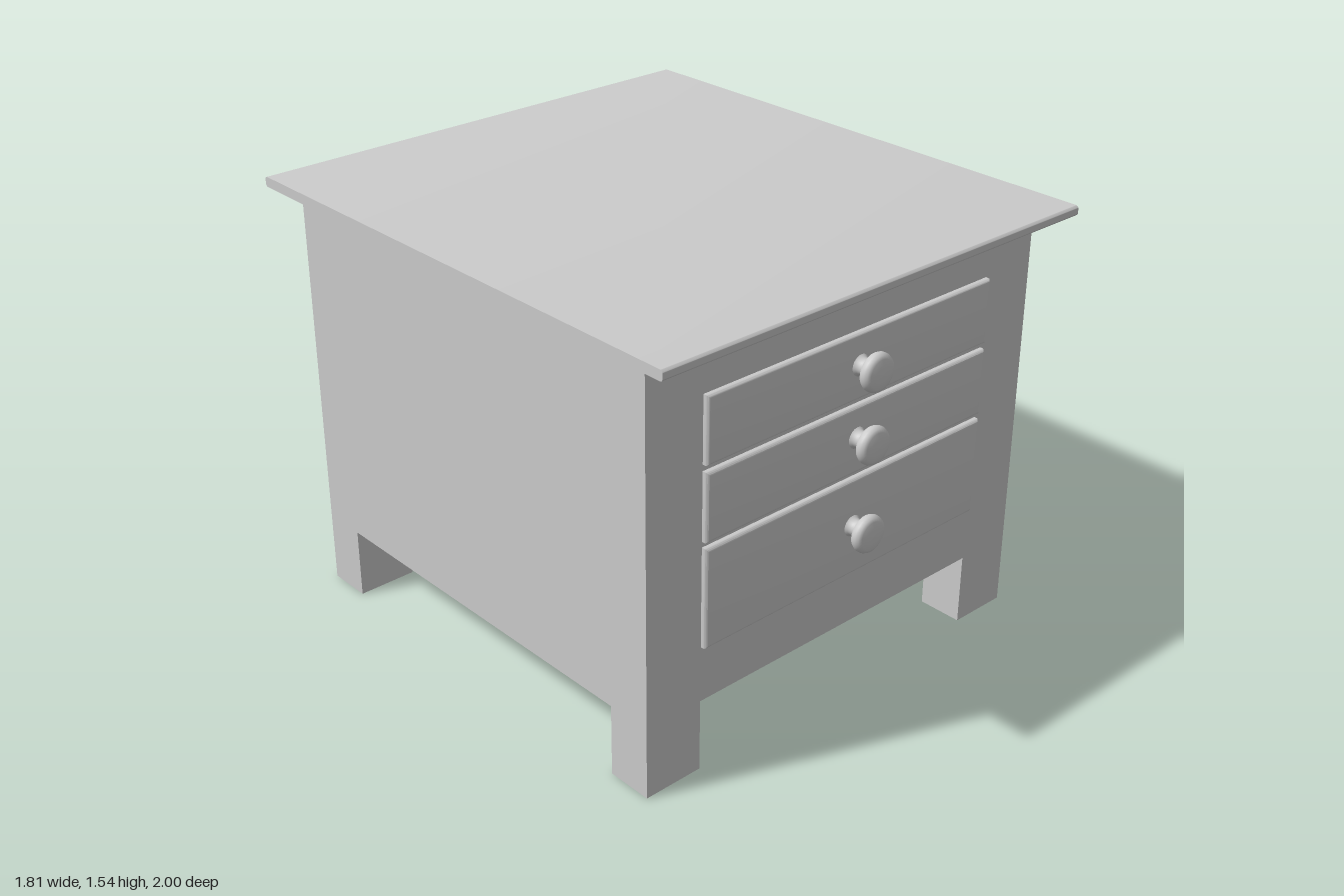
import * as THREE from 'three';
import { toCreasedNormals } from 'three/addons/utils/BufferGeometryUtils.js';

const material = new THREE.MeshStandardMaterial({ color: 0xcccccc });

function part(name, geometry, x = 0, y = 0, z = 0) {
  const mesh = new THREE.Mesh(geometry, material);
  mesh.name = name;
  mesh.position.set(x, y, z);
  return mesh;
}

// Rectangle centred on the origin with rounded corners
function roundedRect(w, h, r) {
  const s = new THREE.Shape();
  const x = w / 2, y = h / 2;
  s.absarc(x - r, y - r, r, 0, Math.PI / 2);
  s.absarc(-x + r, y - r, r, Math.PI / 2, Math.PI);
  s.absarc(-x + r, -y + r, r, Math.PI, Math.PI * 1.5);
  s.absarc(x - r, -y + r, r, Math.PI * 1.5, Math.PI * 2);
  return s;
}

// Board with rounded front and back edges and square ends
function topGeometry(width, height, depth) {
  const g = new THREE.ExtrudeGeometry(roundedRect(depth, height, 0.012), {
    depth: width, bevelEnabled: false, curveSegments: 5,
  });
  g.translate(0, 0, -width / 2).rotateY(Math.PI / 2);
  return toCreasedNormals(g, 0.6);
}

// Drawer front: a panel whose front edges are rounded over
function drawerGeometry(width, height) {
  const r = 0.012;
  const w = width / 2 - r, h = height / 2 - r;
  const s = new THREE.Shape([
    new THREE.Vector2(-w, -h), new THREE.Vector2(w, -h),
    new THREE.Vector2(w, h), new THREE.Vector2(-w, h),
  ]);
  const g = new THREE.ExtrudeGeometry(s, {
    depth: 0.026, bevelEnabled: true, bevelThickness: r, bevelSize: r, bevelSegments: 4,
  });
  return toCreasedNormals(g, 0.6);
}

// Turned knob: flared stem and a flattened round head, pointing to +z
function knobGeometry() {
  const profile = [
    [0.038, 0], [0.031, 0.008], [0.028, 0.02], [0.028, 0.036], [0.036, 0.043],
    [0.052, 0.046], [0.061, 0.052], [0.066, 0.062], [0.066, 0.072],
    [0.061, 0.083], [0.05, 0.089], [0.028, 0.093], [0, 0.094],
  ].map(([r, y]) => new THREE.Vector2(r, y));
  return new THREE.LatheGeometry(profile, 32).rotateX(Math.PI / 2);
}

export function createModel() {
  const model = new THREE.Group();
  model.name = 'nightstand';

  // Cabinet and top
  const front = 0.865, bottom = 0.26, top = 1.51;
  model.add(part('cabinet', new THREE.BoxGeometry(1.7, top - bottom, front * 2), 0, (top + bottom) / 2, 0));
  model.add(part('tabletop', topGeometry(1.81, 0.036, 2), 0, 1.526, 0));

  // Legs flush with the cabinet corners
  const legW = 0.222, legD = 0.166;
  for (const [sx, side] of [[1, 'Left'], [-1, 'Right']]) {
    for (const [sz, end] of [[1, 'front'], [-1, 'back']]) {
      model.add(part(`${end}${side}Leg`, new THREE.BoxGeometry(legW, bottom, legD),
        sx * (0.85 - legW / 2), bottom / 2, sz * (front - legD / 2)));
    }
  }

  // Drawers: bottom edge, top edge, knob height
  const drawers = [
    ['topDrawer', 1.1, 1.33, 1.22],
    ['middleDrawer', 0.838, 1.078, 0.967],
    ['bottomDrawer', 0.462, 0.818, 0.647],
  ];
  const knob = knobGeometry();
  for (const [name, y0, y1, knobY] of drawers) {
    const drawer = new THREE.Group();
    drawer.name = name;
    drawer.add(part('drawerFront', drawerGeometry(1.255, y1 - y0), 0, (y0 + y1) / 2, 0.849));
    drawer.add(part('knob', knob, 0.015, knobY, 0.886));
    model.add(drawer);
  }
  return model;
}
